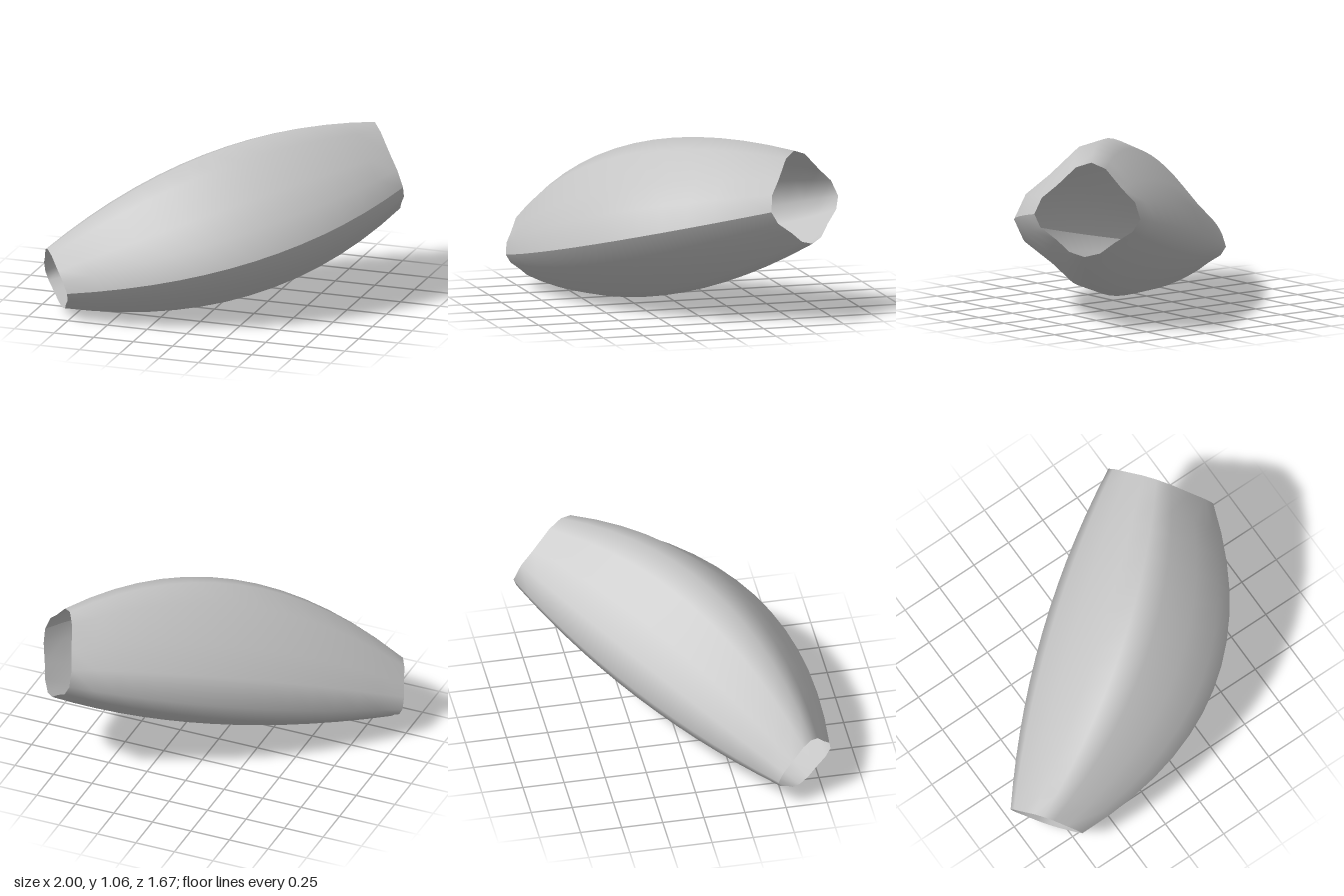
import * as THREE from 'three';

// Upper-right quadrant points (across, up) of the rounded-diamond section, mirrored below
const UPPER = [[1, 0], [0.88, 0.3], [0.61, 0.54], [0.28, 0.88]];
const LOWER = [[0.87, -0.23], [0.54, -0.45], [0.29, -0.65]];

function sectionPoints() {
  const mirror = ([x, y]) => [-x, y];
  return [
    ...UPPER, [0, 0.98],
    ...UPPER.map(mirror).reverse(),
    ...LOWER.map(mirror), [0, -0.73],
    ...[...LOWER].reverse(), UPPER[0], // repeated first point keeps the long seam sharp
  ];
}

// Open shell: one section swept along the axis, swelling and bowing sideways in the middle
function shellGeometry(rings = 14) {
  const start = new THREE.Vector3(-0.863, 0.195, 0.64);
  const end = new THREE.Vector3(0.805, 0.705, -0.567);
  const axis = end.clone().sub(start).normalize();
  const across = new THREE.Vector3(-axis.z, 0, axis.x).normalize();
  const up = new THREE.Vector3().crossVectors(across, axis);
  const section = sectionPoints();
  const n = section.length;
  const positions = [];
  const index = [];

  for (let i = 0; i <= rings; i++) {
    const f = i / rings;
    const bulge = 4 * f * (1 - f);
    const size = 0.227 + 0.104 * f + 0.2625 * bulge;
    const centre = start.clone().lerp(end, f).addScaledVector(across, 0.1525 * bulge);
    section.forEach(([x, y], j) => {
      const p = centre.clone().addScaledVector(across, x * size).addScaledVector(up, y * size);
      positions.push(p.x, p.y, p.z);
      if (i < rings && j < n - 1) {
        const a = i * n + j;
        const b = a + n;
        index.push(a, b, a + 1, b, b + 1, a + 1);
      }
    });
  }

  const geometry = new THREE.BufferGeometry();
  geometry.setAttribute('position', new THREE.Float32BufferAttribute(positions, 3));
  geometry.setIndex(index);
  geometry.computeVertexNormals();
  return geometry;
}

export function createModel() {
  const group = new THREE.Group();
  group.name = 'openShell';
  const grey = new THREE.MeshStandardMaterial({ color: 0xc4c4c4, side: THREE.DoubleSide });
  grey.name = 'light grey';
  const shell = new THREE.Mesh(shellGeometry(), grey);
  shell.name = 'shell';
  group.add(shell);
  return group;
}
